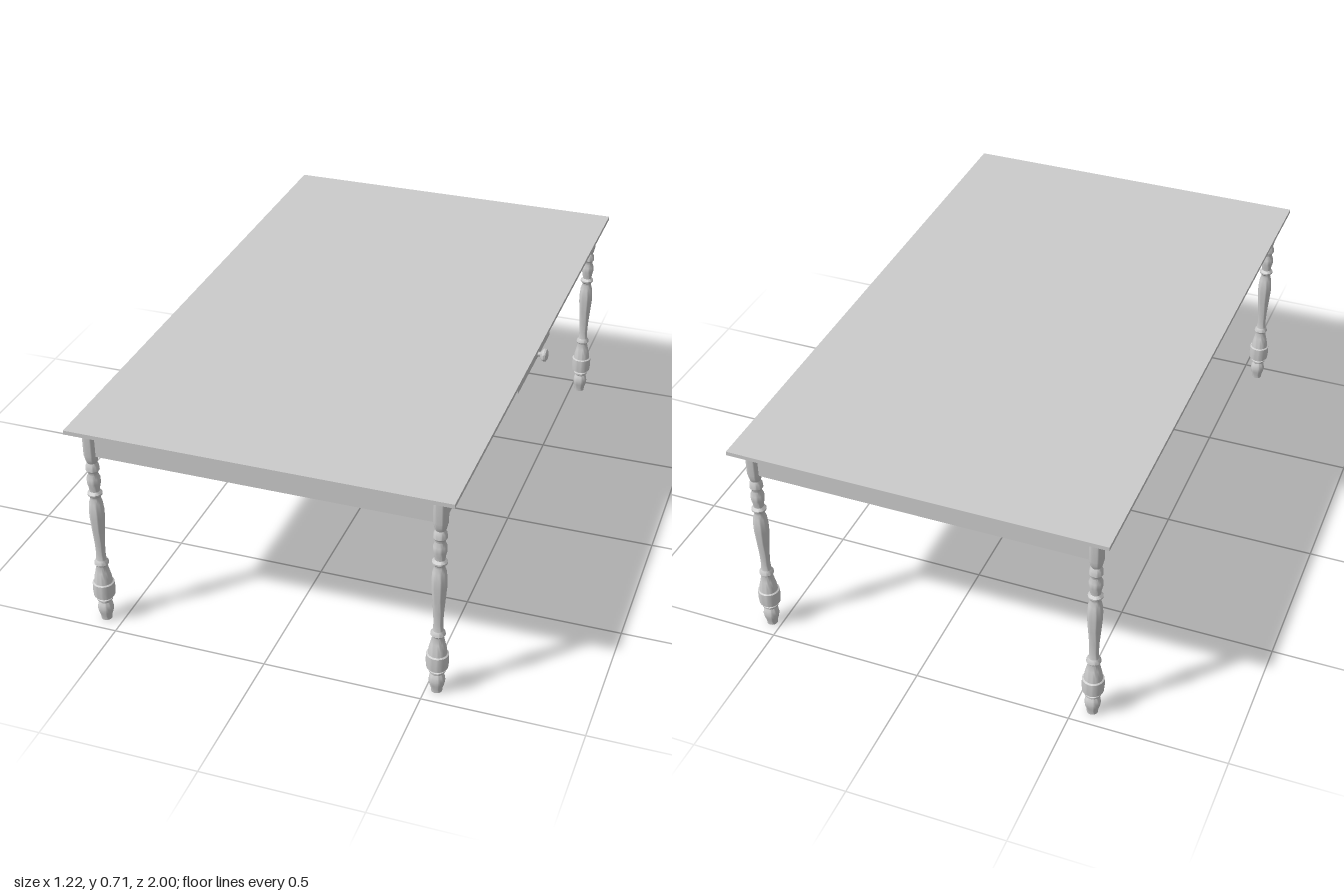
import * as THREE from 'three';
import { toCreasedNormals } from 'three/addons/utils/BufferGeometryUtils.js';

const material = new THREE.MeshStandardMaterial({ color: 0xcccccc });

function addBox(group, name, size, position) {
  const mesh = new THREE.Mesh(new THREE.BoxGeometry(...size), material);
  mesh.name = name;
  mesh.position.set(...position);
  group.add(mesh);
}

// Turned part from [radius, height] pairs, keeping the sharp rings crisp
function turned(profile, segments) {
  const points = profile.map(([r, y]) => new THREE.Vector2(r, y));
  return toCreasedNormals(new THREE.LatheGeometry(points, segments), 0.6);
}

export function createModel() {
  const table = new THREE.Group();
  table.name = 'table';
  const midX = -0.012; // the knob overhangs, so the table sits off centre
  const legX = 0.545, legZ = 0.944;

  addBox(table, 'tableTop', [1.2, 0.013, 2], [midX, 0.7065, 0]);
  addBox(table, 'apron', [2 * legX + 0.022, 0.09, 2 * legZ + 0.022], [midX, 0.655, 0]);

  // Turned legs, foot to collar
  const legGeometry = turned([
    [0, 0], [0.017, 0], [0.018, 0.012], [0.023, 0.028], [0.025, 0.042], [0.023, 0.056], [0.018, 0.066],
    [0.019, 0.07], [0.025, 0.074], [0.025, 0.079], [0.02, 0.082], [0.028, 0.086], [0.028, 0.09],
    [0.033, 0.092], [0.035, 0.115], [0.034, 0.139], [0.029, 0.142], [0.027, 0.16], [0.022, 0.182],
    [0.017, 0.203], [0.018, 0.207], [0.023, 0.212], [0.022, 0.218], [0.016, 0.226],
    [0.0145, 0.25], [0.016, 0.29], [0.02, 0.34], [0.0235, 0.385], [0.0235, 0.41], [0.021, 0.437],
    [0.016, 0.453], [0.017, 0.461], [0.023, 0.468], [0.023, 0.473], [0.016, 0.481],
    [0.017, 0.492], [0.021, 0.51], [0.021, 0.527], [0.015, 0.542],
    [0.016, 0.548], [0.021, 0.556], [0.02, 0.571], [0.015, 0.582],
    [0.018, 0.588], [0.02, 0.598], [0.023, 0.61], [0.023, 0.7], [0, 0.7],
  ], 32);
  for (const sx of [-1, 1]) {
    for (const sz of [-1, 1]) {
      const leg = new THREE.Mesh(legGeometry, material);
      leg.name = (sz > 0 ? 'front' : 'back') + (sx > 0 ? 'Left' : 'Right') + 'Leg';
      leg.position.set(midX + sx * legX, 0, sz * legZ);
      table.add(leg);
    }
  }

  // Drawer front with a turned knob on the +x side
  addBox(table, 'drawerFront', [0.023, 0.076, 0.412], [0.5515, 0.66, 0.003]);
  const knob = new THREE.Mesh(turned([
    [0, 0], [0.019, 0], [0.019, 0.004], [0.015, 0.009], [0.008, 0.012], [0.007, 0.02],
    [0.012, 0.023], [0.019, 0.028], [0.022, 0.034], [0.02, 0.04], [0.013, 0.044], [0, 0.046],
  ], 24), material);
  knob.name = 'drawerKnob';
  knob.rotation.z = -Math.PI / 2;
  knob.position.set(0.562, 0.66, 0.003);
  table.add(knob);

  return table;
}
